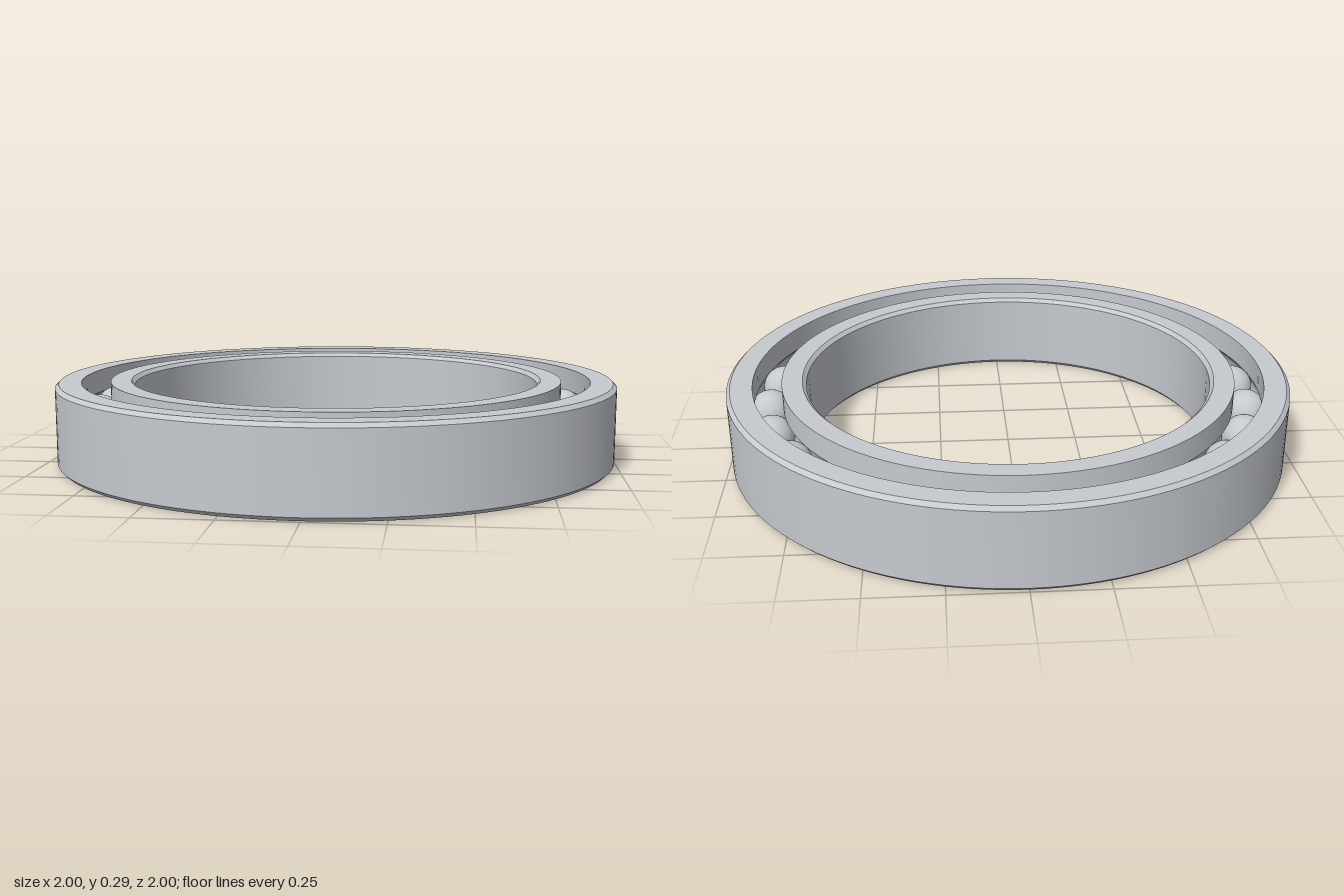
import * as THREE from 'three';
import { toCreasedNormals } from 'three/addons/utils/BufferGeometryUtils.js';

const WIDTH = 0.289, MID = WIDTH / 2, CHAMFER = 0.0135;
const PITCH = 0.859, BALL_R = 0.078, GROOVE_R = 0.079, BALLS = 25;

// Half-round raceway points, from top to bottom (dir = 1 cuts outward, -1 inward)
function raceway(radius, dir) {
  const half = Math.acos(Math.abs(radius - PITCH) / GROOVE_R);
  const points = [];
  for (let i = 0; i <= 16; i++) {
    const a = half * (1 - i / 8);
    points.push(new THREE.Vector2(PITCH + dir * GROOVE_R * Math.cos(a), MID + GROOVE_R * Math.sin(a)));
  }
  return points;
}

// Spin a closed profile, keeping its corners sharp
function ring(name, profile, material) {
  const geometry = new THREE.LatheGeometry([...profile, profile[0].clone()], 144);
  const mesh = new THREE.Mesh(toCreasedNormals(geometry, 0.4), material);
  mesh.name = name;
  return mesh;
}

export function createModel() {
  const group = new THREE.Group();
  group.name = 'ballBearing';
  const steel = new THREE.MeshStandardMaterial({ color: 0xc6cacf });
  steel.name = 'steel';
  const v = (r, y) => new THREE.Vector2(r, y);

  // Outer ring: chamfered outside, groove inside
  const outerIn = 0.909;
  group.add(ring('outerRing', [
    v(1 - CHAMFER, 0), v(1, CHAMFER), v(1, WIDTH - CHAMFER), v(1 - CHAMFER, WIDTH),
    v(outerIn, WIDTH), ...raceway(outerIn, 1), v(outerIn, 0),
  ], steel));

  // Inner ring: groove outside, chamfered bore
  const innerOut = 0.808, bore = 0.722;
  group.add(ring('innerRing', [
    v(innerOut, 0), ...raceway(innerOut, -1).reverse(), v(innerOut, WIDTH),
    v(bore + CHAMFER, WIDTH), v(bore, WIDTH - CHAMFER), v(bore, CHAMFER), v(bore + CHAMFER, 0),
  ], steel));

  // Balls evenly spaced between the rings
  const ballGeometry = new THREE.SphereGeometry(BALL_R, 32, 20);
  for (let i = 0; i < BALLS; i++) {
    const a = (i / BALLS) * Math.PI * 2;
    const ball = new THREE.Mesh(ballGeometry, steel);
    ball.name = `ball${i + 1}`;
    ball.position.set(PITCH * Math.cos(a), MID, PITCH * Math.sin(a));
    group.add(ball);
  }
  return group;
}
